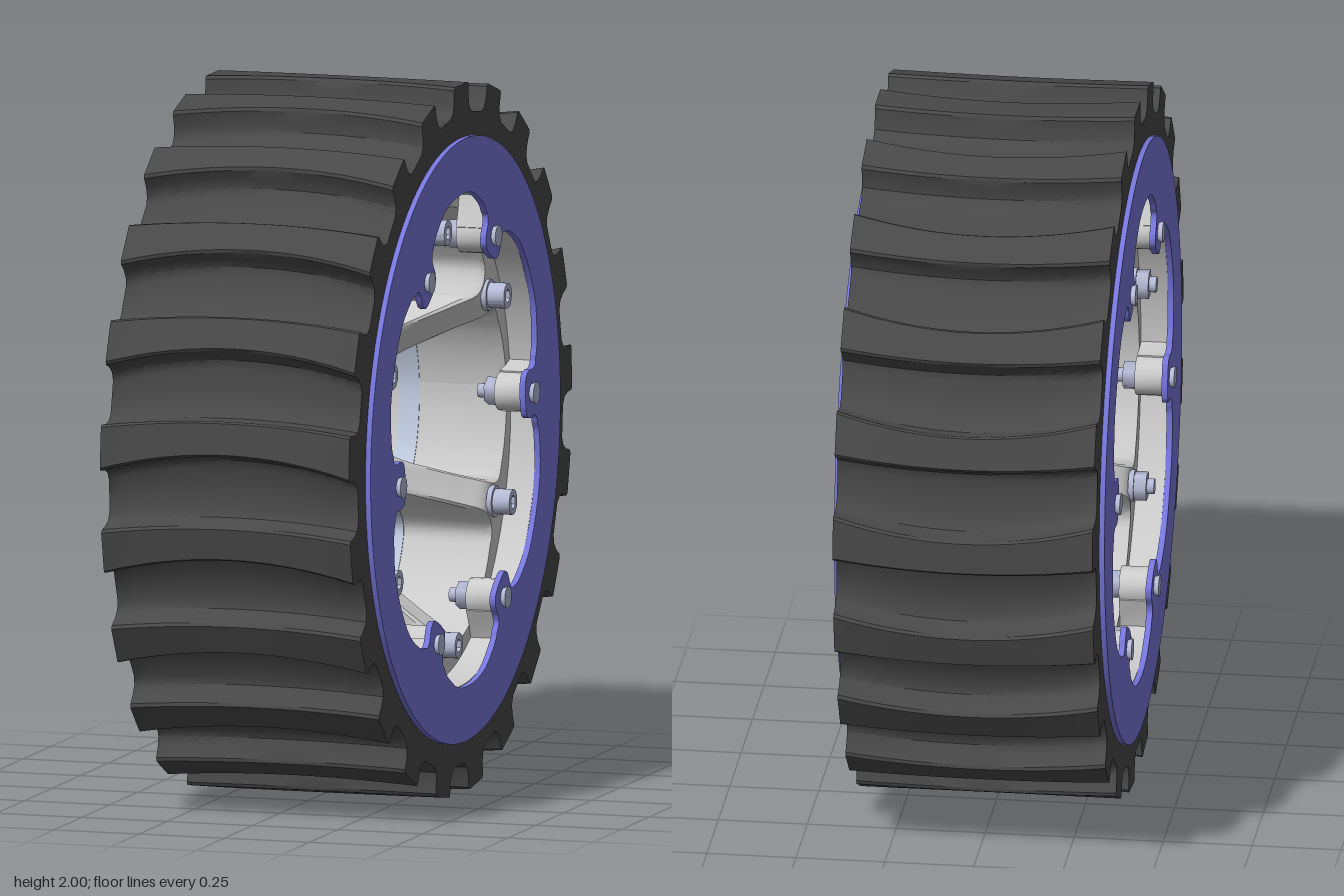
import * as THREE from 'three';
import { toCreasedNormals } from 'three/addons/utils/BufferGeometryUtils.js';

const V2 = (x, y) => new THREE.Vector2(x, y);
const polar = (r, a) => V2(r * Math.cos(a), r * Math.sin(a));
const mat = (color) => new THREE.MeshStandardMaterial({ color });
const grey = mat(0xcccccc), rubber = mat(0x484848), purple = mat(0x7676dc);
const steel = mat(0xc0cbe0), boltSteel = mat(0xb4bad4);

const STEP = Math.PI / 3;
const TAB = 0.082;             // angle of the first clamp tab (and window)
const SPOKE = TAB + STEP / 2;  // angle of the first spoke

const circlePts = (r, n, cx = 0, cy = 0) =>
  Array.from({ length: n }, (_, i) => polar(r, i / n * 2 * Math.PI).add(V2(cx, cy)));
const turn = (pts, a) => pts.map(p => p.clone().rotateAround(V2(0, 0), a));

// Flat slab with holes, running along z from z0 to z1
function slab(outline, holes, z0, z1, steps = 1) {
  const shape = new THREE.Shape(outline);
  shape.holes = holes.map(h => new THREE.Path(h));
  const g = new THREE.ExtrudeGeometry(shape, { depth: z1 - z0, bevelEnabled: false, steps });
  return g.translate(0, 0, z0);
}
const smooth = (g, angle = 0.5) => toCreasedNormals(g, angle);

// Tyre: lug profile repeated round the rim, bowed across the width
function tyreGeometry() {
  const N = 21, pitch = 2 * Math.PI / N, start = 1.562, half = 0.365;
  const side = [[0.10, 0.918], [0.077, 0.933], [0.067, 0.96], [0.065, 0.992], [0.057, 1.0]];
  const lug = [...side.map(([a, r]) => [-a, r]), ...side.slice().reverse()];
  const outline = [];
  for (let i = 0; i < N; i++)
    for (const [a, r] of lug) outline.push(polar(r, start + i * pitch + a));
  const g = slab(outline, [circlePts(0.84, 96)], -half, half, 16);
  const p = g.attributes.position;
  for (let i = 0; i < p.count; i++) {
    const x = p.getX(i), y = p.getY(i), z = p.getZ(i), r = Math.hypot(x, y);
    if (r < 0.9) continue;
    const a = Math.atan2(y, x);
    let rel = (a - start) / pitch;
    rel = (rel - Math.round(rel)) * pitch;
    const bow = 0.04 + 0.015 * THREE.MathUtils.clamp(rel / 0.065, -1, 1);
    const q = polar(r, a - bow * (1 - (z / half) ** 2));
    p.setXY(i, q.x, q.y);
  }
  return smooth(g, 0.6);
}

// Spoke stations: x = half angle, y = half thickness, z = radius
const stations = new THREE.CatmullRomCurve3([
  [0.17, 0.025, 0.345], [0.15, 0.04, 0.36], [0.115, 0.09, 0.40], [0.10, 0.155, 0.45],
  [0.09, 0.22, 0.50], [0.088, 0.275, 0.545], [0.10, 0.285, 0.58], [0.135, 0.285, 0.617],
  [0.21, 0.285, 0.635], [0.32, 0.285, 0.648], [0.43, 0.285, 0.656], [STEP / 2, 0.285, 0.66],
].map(a => new THREE.Vector3(...a))).getPoints(44);

// Spoke: closed cross-sections swept outward, flaring into the rim
function spokeGeometry() {
  const rows = [...stations, new THREE.Vector3(STEP / 2, 0.285, 0.70)];
  const across = [-1, -0.85, -0.5, 0, 0.5, 0.85, 1];
  const n = across.length * 2, pos = [], idx = [];
  for (const { x: half, y: h, z: r } of rows)
    for (let j = 0; j < n; j++) {
      const top = j < across.length;
      const v = top ? across[j] : across[n - 1 - j];
      const z = Math.abs(v) === 1 && r < 0.63 ? h * 0.94 : h;
      const q = polar(r, v * half);
      pos.push(q.x, q.y, top ? z : -z);
    }
  for (let i = 0; i < rows.length - 1; i++)
    for (let j = 0; j < n; j++) {
      const k = (j + 1) % n, a = i * n, b = a + n;
      idx.push(a + j, b + j, b + k, a + j, b + k, a + k);
    }
  const g = new THREE.BufferGeometry();
  g.setAttribute('position', new THREE.Float32BufferAttribute(pos, 3));
  g.setIndex(idx);
  return smooth(g, 0.6);
}

// Centre plate: hub flange and the web that shows as a strip inside the windows
function plateGeometry() {
  const edge = stations.slice(1, -1).map(s => polar(s.z - 0.002, STEP / 2 - s.x - 0.004));
  const window = [...edge, ...edge.slice().reverse().map(p => V2(p.x, -p.y))];
  const holes = [circlePts(0.192, 64)];
  for (let i = 0; i < 6; i++) {
    holes.push(turn(window, TAB + i * STEP));
    const c = polar(0.25, SPOKE + i * STEP);
    holes.push(circlePts(0.022, 20, c.x, c.y));
  }
  return smooth(slab(circlePts(0.72, 96), holes, -0.03, 0.03));
}

// Clamp ring opening: six lobes separated by inward tabs
function clampOpening() {
  const lobe = [20, 13].map((d, i) => polar([0.692, 0.67][i], d * Math.PI / 180));
  const half = [V2(0.54, 0.03), V2(0.55, 0.057), V2(0.575, 0.068), V2(0.61, 0.066),
    V2(0.632, 0.076), V2(0.638, 0.095), V2(0.648, 0.115), ...lobe.reverse()];
  const one = [...half.slice().reverse().map(p => V2(p.x, -p.y)), ...half, polar(0.697, STEP / 2)];
  const pts = [];
  for (let i = 0; i < 6; i++) pts.push(...turn(one, TAB + i * STEP));
  const curve = new THREE.CatmullRomCurve3(pts.map(p => new THREE.Vector3(p.x, p.y, 0)), true);
  return curve.getPoints(pts.length * 3).slice(0, -1).map(p => V2(p.x, p.y));
}

export function createModel() {
  const model = new THREE.Group();
  model.name = 'wheel';
  const wheel = new THREE.Group();
  wheel.name = 'wheelAssembly';
  wheel.rotation.y = Math.PI / 2;   // axle along x
  wheel.position.y = 1;
  model.add(wheel);

  const add = (name, geometry, material, angle = 0) => {
    const m = new THREE.Mesh(geometry, material);
    m.name = name;
    m.rotation.z = angle;
    wheel.add(m);
    return m;
  };

  add('tyre', tyreGeometry(), rubber);
  add('rimBarrel', smooth(slab(circlePts(0.845, 96), [circlePts(0.695, 96)], -0.364, 0.364)), grey);
  add('hubPlate', plateGeometry(), steel);

  const opening = clampOpening();
  for (const s of [-1, 1]) {
    const mid = s * 0.3715;
    add(s > 0 ? 'leftClampRing' : 'rightClampRing',
      smooth(slab(circlePts(0.85, 96), [opening], mid - 0.0085, mid + 0.0085)), purple);
  }

  // Cylinder along z between z0 and z1, centred at radius r
  const rod = (r, rad0, rad1, z0, z1, sides) =>
    new THREE.CylinderGeometry(rad1, rad0, z1 - z0, sides)
      .rotateX(Math.PI / 2).translate(r, 0, (z0 + z1) / 2);

  const spoke = spokeGeometry();
  const bossShape = [V2(0.71, -0.075), V2(0.66, -0.062), V2(0.60, -0.058)];
  for (let i = 0; i <= 8; i++) bossShape.push(polar(0.054, -Math.PI / 2 - i / 8 * Math.PI).add(V2(0.6, 0)));
  bossShape.push(V2(0.60, 0.058), V2(0.66, 0.062), V2(0.71, 0.075));

  // Socket head with a hexagonal recess
  const head = smooth(slab(circlePts(0.036, 24, 0.59), [circlePts(0.02, 6, 0.59)], 0.295, 0.345));
  for (let i = 0; i < 6; i++) {
    const a = SPOKE + i * STEP, t = TAB + i * STEP;
    add('spoke', spoke, grey, a);
    add('spokeBoltHead', head, boltSteel, a);
    add('spokeBoltSocketFloor', rod(0.59, 0.03, 0.03, 0.28, 0.318, 24), boltSteel, a);
    add('spokeWasher', rod(0.59, 0.045, 0.045, 0.28, 0.295, 24), boltSteel, a);
    add('spokeWasherBack', rod(0.59, 0.045, 0.045, -0.295, -0.28, 24), boltSteel, a);
    add('spokeNut', rod(0.59, 0.042, 0.042, -0.33, -0.29, 6), boltSteel, a);
    add('spokeBoltEnd', rod(0.59, 0.022, 0.022, -0.35, -0.29, 16), boltSteel, a);

    for (const s of [-1, 1]) {
      const span = (lo, hi) => s > 0 ? [lo, hi] : [-hi, -lo];
      add('tabBoss', smooth(slab(bossShape, [], ...span(0.285, 0.362))), grey, t);
      const [in0, out0] = s > 0 ? [0.022, 0.031] : [0.031, 0.022];
      add('tabBolt', rod(0.597, in0, out0, ...span(0.37, 0.394), 24), boltSteel, t);
      add('tabNut', rod(0.597, 0.04, 0.04, ...span(0.25, 0.286), 6), boltSteel, t);
      add('tabBoltEnd', rod(0.597, 0.02, 0.02, ...span(0.225, 0.26), 16), boltSteel, t);
    }
  }
  return model;
}
